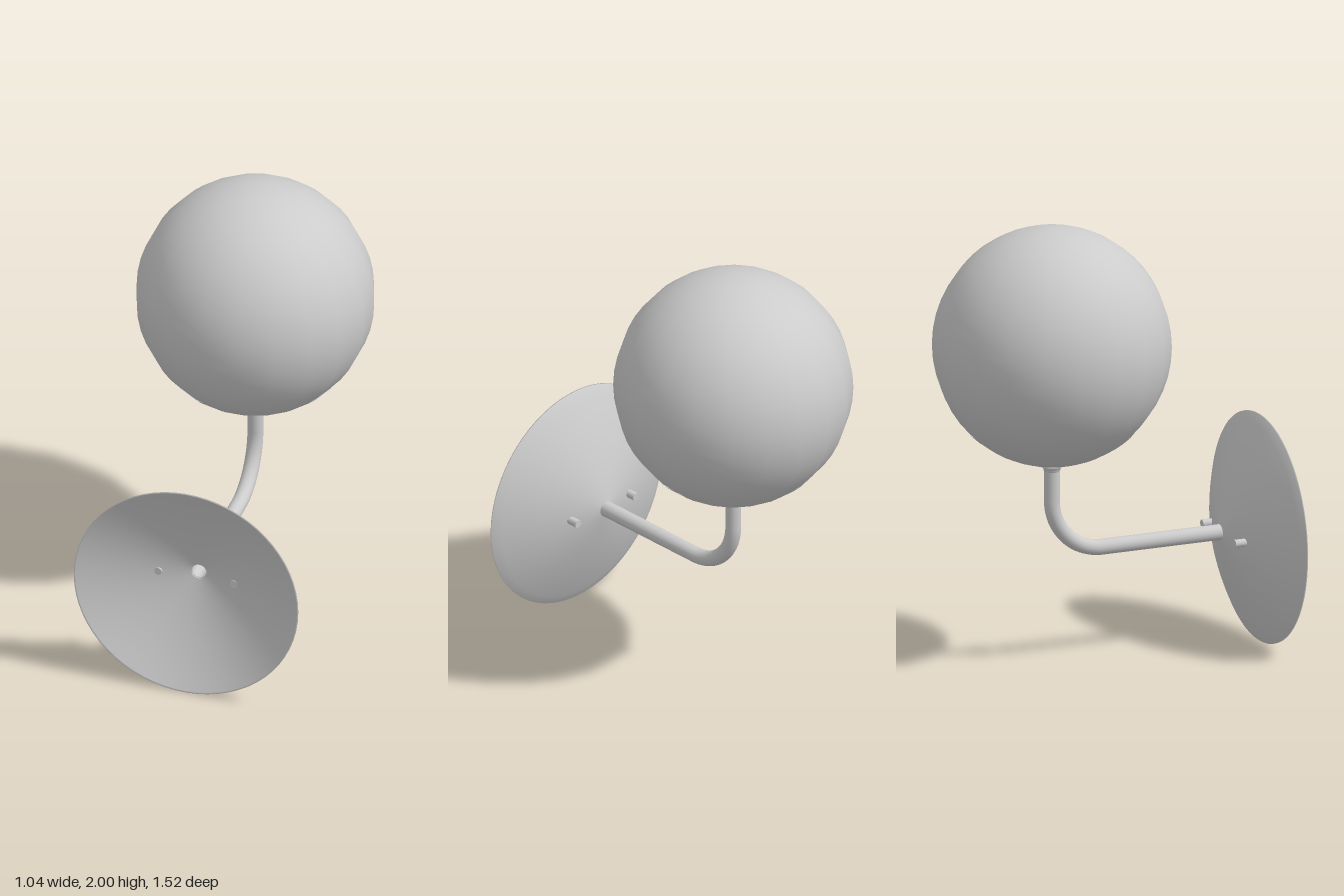
import * as THREE from 'three';

const material = new THREE.MeshStandardMaterial({ color: 0xcccccc, side: THREE.DoubleSide });
const AXIS_Y = 0.52;   // height of the wall plate and horizontal arm
const GLOBE_Z = -0.24; // depth of the globe and upright arm

function add(group, name, geometry, x = 0, y = 0, z = 0) {
  const mesh = new THREE.Mesh(geometry, material);
  mesh.name = name;
  mesh.position.set(x, y, z);
  group.add(mesh);
  return mesh;
}

export function createModel() {
  const group = new THREE.Group();
  group.name = 'wallLamp';

  // Globe: 20 sides, turned half a side so flats face front and sides
  const globe = add(group, 'globe', new THREE.SphereGeometry(0.527, 20, 24), 0, 1.467, GLOBE_Z);
  globe.scale.y = 1.011;
  globe.rotation.y = Math.PI / 20;

  // Shallow cup hugging the underside of the globe
  const start = Math.acos(-0.382 / 0.533);
  const cup = add(group, 'globeCup',
    new THREE.SphereGeometry(0.53, 20, 8, 0, Math.PI * 2, start, Math.PI - start), 0, 1.467, GLOBE_Z);
  cup.scale.y = 1.011;
  cup.rotation.y = Math.PI / 20;

  // Collar between the arm and the cup
  const collar = [[0.035, 0.895], [0.038, 0.9], [0.038, 0.908], [0.046, 0.914], [0.046, 0.922], [0.036, 0.932], [0.036, 0.945]];
  add(group, 'collar', new THREE.LatheGeometry(collar.map(p => new THREE.Vector2(...p)), 24), 0, 0, GLOBE_Z);

  // Bent arm: straight out from the plate, quarter turn, then up
  const bend = 0.24;
  const path = new THREE.CurvePath();
  const p = (y, z) => new THREE.Vector3(0, y, z);
  const k = bend * 0.5523;
  path.add(new THREE.LineCurve3(p(AXIS_Y, 0.575), p(AXIS_Y, 0)));
  path.add(new THREE.CubicBezierCurve3(p(AXIS_Y, 0), p(AXIS_Y, -k),
    p(AXIS_Y + bend - k, GLOBE_Z), p(AXIS_Y + bend, GLOBE_Z)));
  path.add(new THREE.LineCurve3(p(AXIS_Y + bend, GLOBE_Z), p(0.94, GLOBE_Z)));
  add(group, 'arm', new THREE.TubeGeometry(path, 72, 0.035, 20));

  // Wall plate: thin hollow dish opening forward, with a hole for the arm
  const profile = [];
  const depth = r => 0.22 * r + 0.31 * r * r;
  for (let i = 0; i <= 12; i++) {
    const r = 0.033 + (0.516 - 0.033) * i / 12;
    profile.push(new THREE.Vector2(r, depth(r)));
  }
  profile.push(new THREE.Vector2(0.516, 0.202));
  for (let i = 12; i >= 0; i--) {
    const r = 0.033 + (0.51 - 0.033) * i / 12;
    profile.push(new THREE.Vector2(r, depth(r) + 0.006));
  }
  const dish = new THREE.LatheGeometry(profile, 64);
  dish.rotateX(Math.PI / 2);
  add(group, 'wallPlate', dish, 0, AXIS_Y, 0.558);

  // Two fixing pins through the plate
  for (const side of [-1, 1]) {
    const pin = new THREE.CylinderGeometry(0.018, 0.018, 0.058, 16);
    pin.rotateX(Math.PI / 2);
    add(group, side > 0 ? 'leftPin' : 'rightPin', pin, side * 0.175, 0.513, 0.588);
  }

  return group;
}
